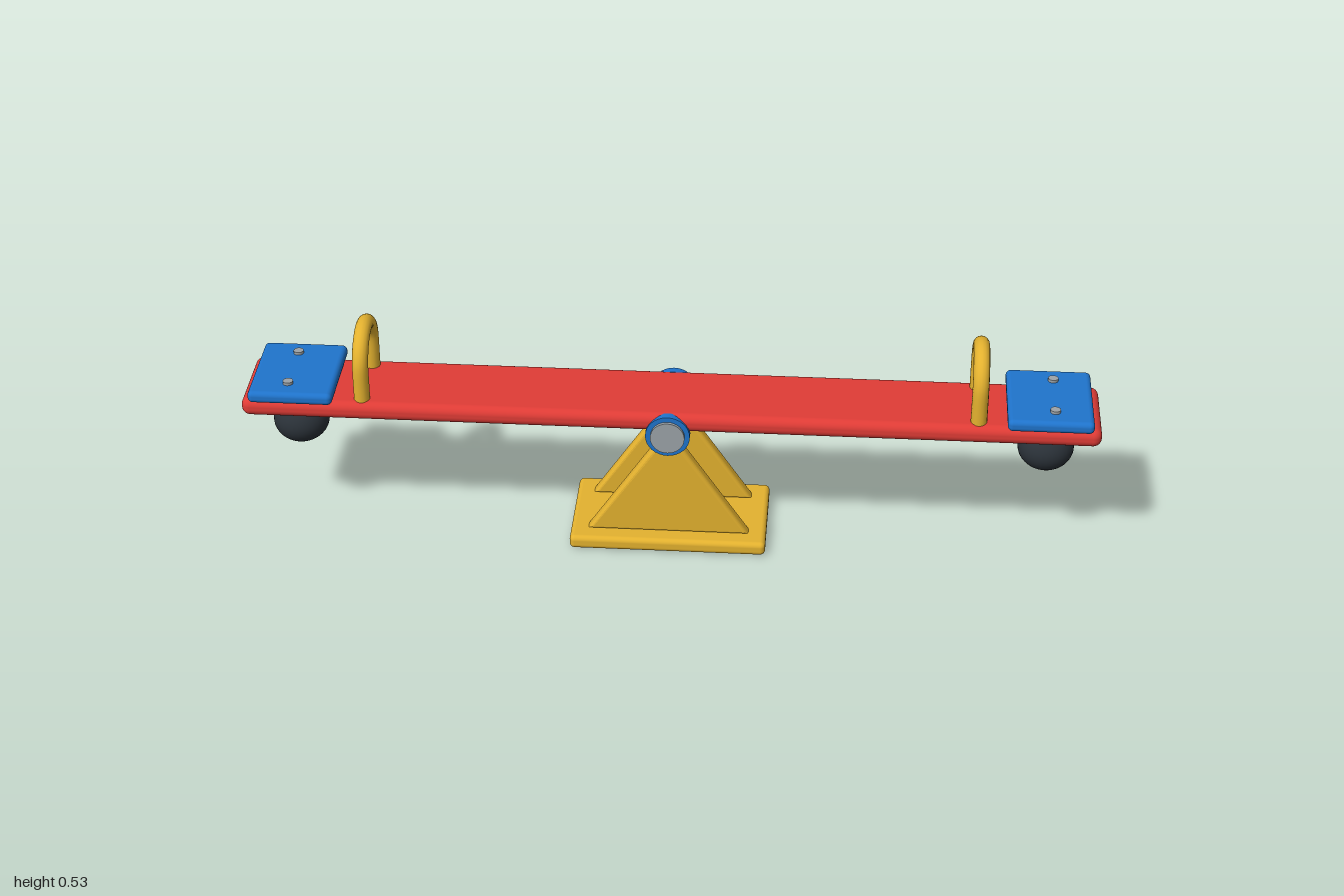
import * as THREE from 'three';
import { RoundedBoxGeometry } from 'three/addons/geometries/RoundedBoxGeometry.js';

const material = (name, color) => {
  const m = new THREE.MeshStandardMaterial({ color });
  m.name = name;
  return m;
};

export function createModel() {
  const red = material('red paint', 0xe03c36);
  const yellow = material('yellow paint', 0xe4b22f);
  const blue = material('blue paint', 0x1f74cc);
  const steel = material('grey steel', 0x9ca3a8);
  const rubber = material('black rubber', 0x2a3138);

  const model = new THREE.Group();
  model.name = 'seesaw';
  const add = (name, geometry, mat, x = 0, y = 0, z = 0) => {
    const mesh = new THREE.Mesh(geometry, mat);
    mesh.name = name;
    mesh.position.set(x, y, z);
    model.add(mesh);
    return mesh;
  };

  // Ground plate and plank
  add('basePlate', new RoundedBoxGeometry(0.464, 0.034, 0.266, 4, 0.012), yellow, 0, 0.017, 0);
  add('plank', new RoundedBoxGeometry(2, 0.046, 0.214, 5, 0.02), red, 0, 0.341, 0);

  // Tapered support plates with rounded edges
  const outline = new THREE.Shape([
    new THREE.Vector2(-0.19, 0.034), new THREE.Vector2(0.19, 0.034),
    new THREE.Vector2(0.02, 0.287), new THREE.Vector2(-0.02, 0.287),
  ]);
  const bevel = 0.01;
  const support = new THREE.ExtrudeGeometry(outline, {
    depth: 0.034 - 2 * bevel, bevelThickness: bevel, bevelSize: bevel,
    bevelOffset: -bevel, bevelSegments: 4,
  }).translate(0, 0, bevel - 0.017);

  // Axle running across under the plank
  const axleY = 0.312;
  add('axle', new THREE.CylinderGeometry(0.04, 0.04, 0.242, 32).rotateX(Math.PI / 2), steel, 0, axleY, 0);
  const collar = new THREE.CylinderGeometry(0.052, 0.052, 0.02, 32).rotateX(Math.PI / 2);
  for (const s of [1, -1]) {
    add('support', support, yellow, 0, 0, s * 0.077);
    add('axleCollar', collar, blue, 0, axleY, s * 0.103);
  }

  // Handle path: straight leg, half-circle arch, straight leg
  const legZ = 0.077, archY = 0.437;
  const path = new THREE.CurvePath();
  const points = [new THREE.Vector3(0, 0.35, legZ), new THREE.Vector3(0, 0.395, legZ)];
  for (let i = 0; i <= 16; i++) {
    const a = (i / 16) * Math.PI;
    points.push(new THREE.Vector3(0, archY + legZ * Math.sin(a), legZ * Math.cos(a)));
  }
  points.push(new THREE.Vector3(0, 0.395, -legZ), new THREE.Vector3(0, 0.35, -legZ));
  const handle = new THREE.TubeGeometry(new THREE.CatmullRomCurve3(points), 56, 0.019, 16);

  const seat = new RoundedBoxGeometry(0.198, 0.03, 0.24, 4, 0.012);
  const bolt = new THREE.CylinderGeometry(0.012, 0.012, 0.014, 16);
  const bumper = new THREE.SphereGeometry(0.066, 32, 20).scale(1, 0.85, 1);

  // Matching seat, handle, bolts and bumper at each end
  for (const s of [1, -1]) {
    add('seat', seat, blue, s * 0.881, 0.378, 0);
    add('handle', handle, yellow, s * 0.717, 0, 0);
    add('bumper', bumper, rubber, s * 0.88, 0.258, 0);
    for (const z of [0.07, -0.07]) add('seatBolt', bolt, steel, s * 0.891, 0.393, z);
  }

  return model;
}
